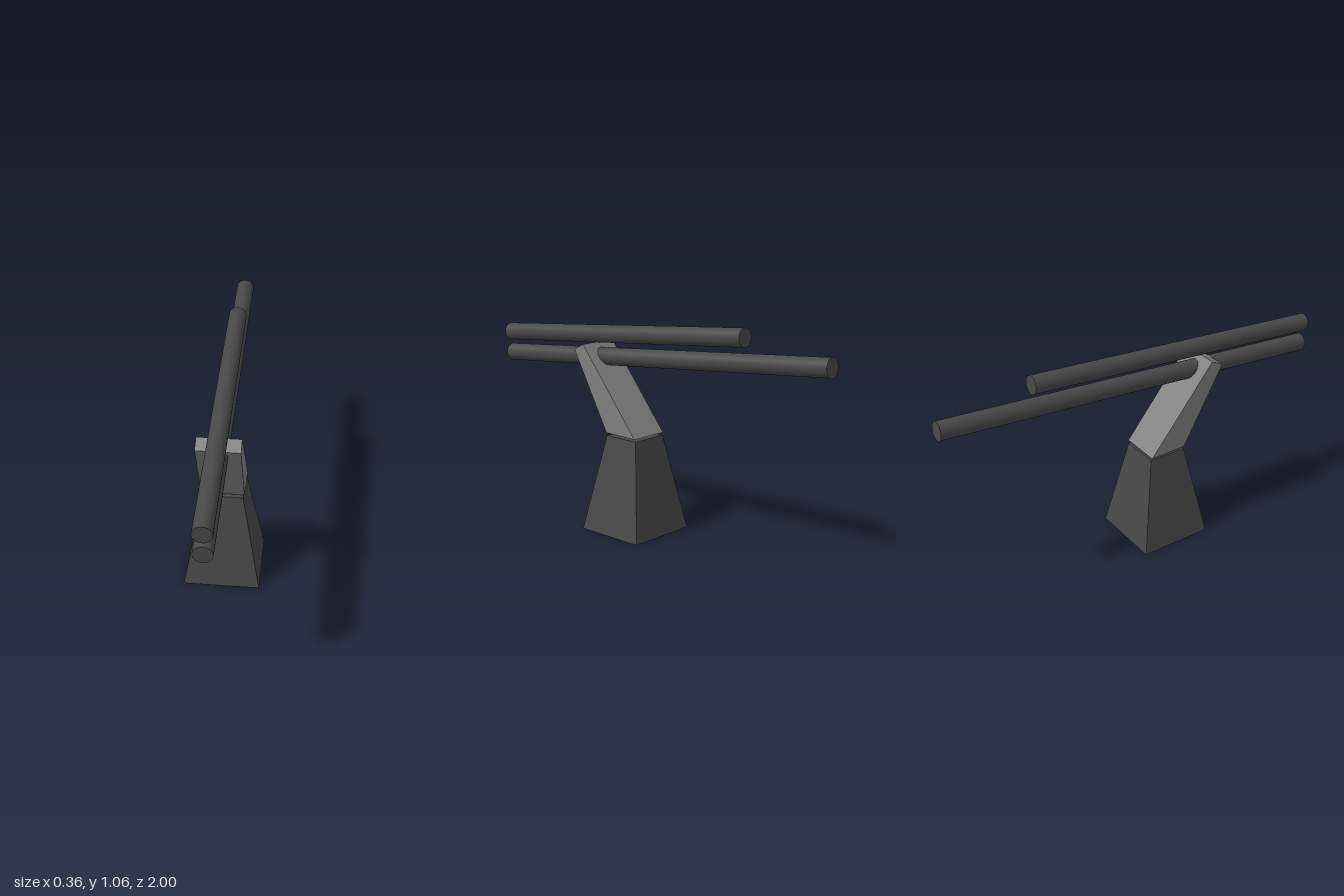
import * as THREE from 'three';

const dark = new THREE.MeshStandardMaterial({ color: 0x484848 });
const darkFlat = new THREE.MeshStandardMaterial({ color: 0x484848, flatShading: true });
const midFlat = new THREE.MeshStandardMaterial({ color: 0x808080, flatShading: true });

function part(name, geometry, material) {
  const mesh = new THREE.Mesh(geometry, material);
  mesh.name = name;
  return mesh;
}

// Closed round tube running between two points [y, z] on the centre plane
function tube(name, front, back, radius) {
  const a = new THREE.Vector3(0, ...front);
  const b = new THREE.Vector3(0, ...back);
  const axis = b.clone().sub(a);
  const mesh = part(name, new THREE.CylinderGeometry(radius, radius, axis.length(), 32), dark);
  mesh.position.copy(a).add(b).multiplyScalar(0.5);
  mesh.quaternion.setFromUnitVectors(new THREE.Vector3(0, 1, 0), axis.normalize());
  return mesh;
}

export function createModel() {
  const model = new THREE.Group();
  model.name = 'mountedTubes';

  // Square tapered pedestal
  const height = 0.467;
  const baseGeometry = new THREE.CylinderGeometry(0.094 * Math.SQRT2, 0.18 * Math.SQRT2, height, 4);
  baseGeometry.rotateY(Math.PI / 4);
  const base = part('pedestal', baseGeometry, darkFlat);
  base.position.set(0, height / 2, 0.11);
  model.add(base);

  // Leaning arm: side profile as [z, y], extruded across x
  const profile = [[0.203, 0.483], [0.018, 0.479], [0.355, 0.893], [0.415, 0.862]];
  const shape = new THREE.Shape(profile.map(([z, y]) => new THREE.Vector2(-z, y)));
  const armGeometry = new THREE.ExtrudeGeometry(shape, { depth: 0.2, bevelEnabled: false });
  armGeometry.translate(0, 0, -0.1).rotateY(Math.PI / 2);
  model.add(part('arm', armGeometry, midFlat));

  // Two parallel tubes, rising toward the back
  model.add(tube('upperTube', [0.877, 0.997], [1.014, -0.547], 0.043));
  model.add(tube('lowerTube', [0.77, 0.987], [0.941, -0.996], 0.043));

  return model;
}
